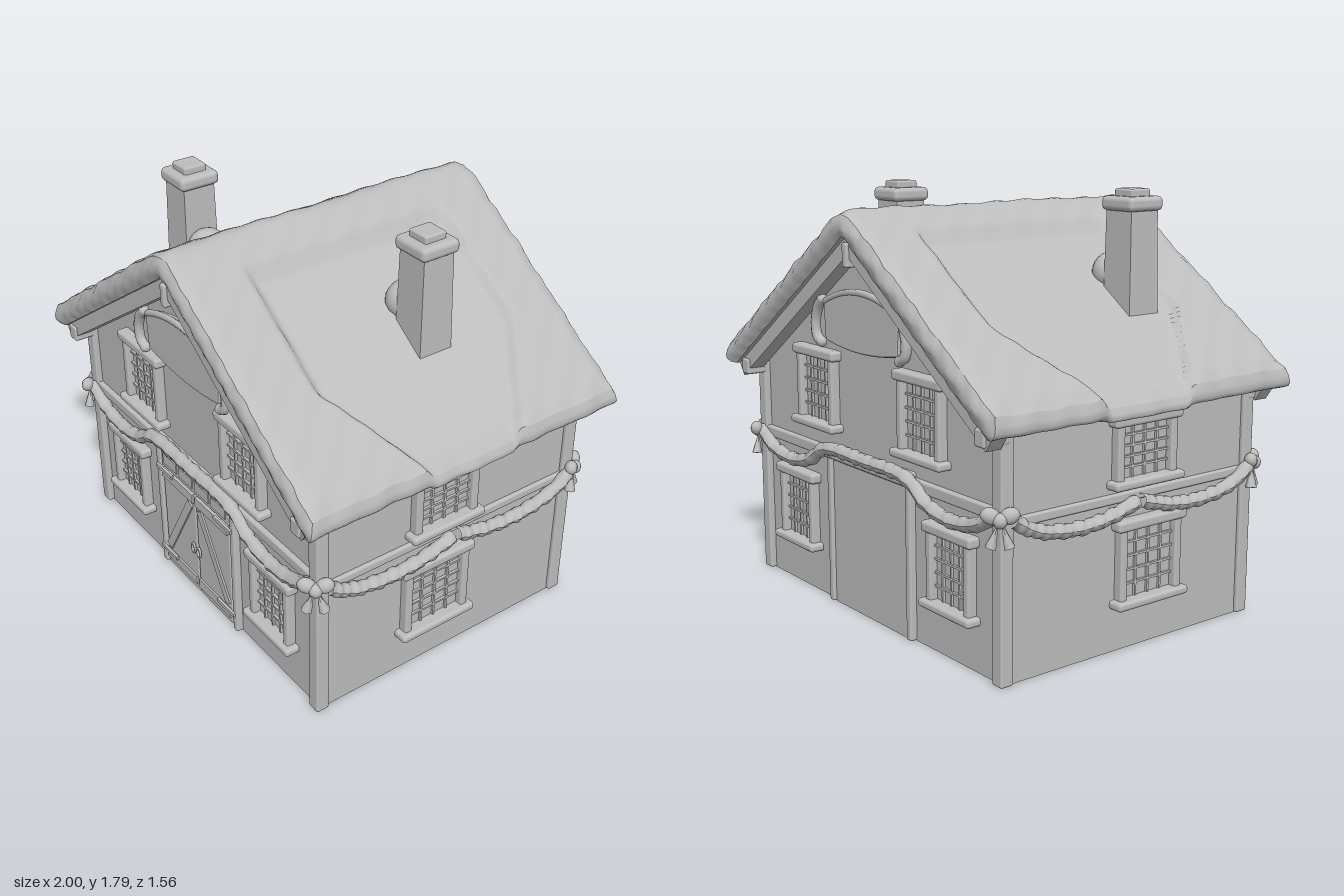
import * as THREE from 'three';
import { RoundedBoxGeometry } from 'three/addons/geometries/RoundedBoxGeometry.js';

const stone = new THREE.MeshStandardMaterial({ color: 0xbdbdbd });
stone.name = 'plain grey';

function add(parent, name, geometry, x = 0, y = 0, z = 0, rotZ = 0) {
  const m = new THREE.Mesh(geometry, stone);
  m.name = name;
  m.position.set(x, y, z);
  m.rotation.z = rotZ;
  parent.add(m);
  return m;
}
const box = (w, h, d) => new THREE.BoxGeometry(w, h, d);
const soft = (w, h, d, r = 0.01) => new RoundedBoxGeometry(w, h, d, 2, r);
const wobble = (a, b) => Math.sin(a * 23 + b * 9) * 0.5 + Math.sin(a * 41 - b * 37 + 1.3) * 0.5;

// Thick snowy roof: a finely divided slab bent over the ridge, hollowed where tiles show
function roofGeometry() {
  const g = new THREE.BoxGeometry(2, 1, 2, 96, 5, 96);
  const p = g.attributes.position;
  const step = THREE.MathUtils.smoothstep;
  for (let i = 0; i < p.count; i++) {
    const s = p.getX(i), v = p.getY(i) + 0.5, w = p.getZ(i);
    const bulge = Math.sin(Math.PI * v);
    const x = s * (0.93 + 0.05 * v + 0.038 * bulge);
    const z = w * (0.755 + 0.02 * bulge + 0.004 * wobble(s * 2, v)) - 0.005;
    const ax = Math.abs(x);
    const narrow = Math.max(0, ax - 0.62) * 0.72;
    const hollow = step(ax, 0.15, 0.19) * (1 - step(Math.abs(z + 0.02), 0.46 - narrow, 0.5 - narrow));
    const edge = Math.max(step(Math.abs(w), 0.95, 1), step(Math.abs(s), 0.96, 1));
    const top = 1.75 - 0.69 * Math.hypot(x, 0.045) - 0.04 * hollow - 0.015 * edge
      + 0.006 * wobble(x, z) * (1 - hollow);
    const bottom = 1.615 - 0.69 * ax;
    p.setXYZ(i, x + Math.sign(s) * 0.005 * edge * wobble(z, 1), THREE.MathUtils.lerp(bottom, top, v), z);
  }
  g.computeVertexNormals();
  return g;
}

// Lumpy rope along a few points
function garland(parent, points) {
  const curve = new THREE.CatmullRomCurve3(points.map(([x, y]) => new THREE.Vector3(x, y, 0.035)));
  const g = new THREE.TubeGeometry(curve, 70, 0.029, 9);
  const p = g.attributes.position, n = g.attributes.normal;
  for (let i = 0; i < p.count; i++) {
    const d = 0.005 * wobble(p.getX(i) * 3, p.getY(i) * 2);
    p.setXYZ(i, p.getX(i) + n.getX(i) * d, p.getY(i) + n.getY(i) * d, p.getZ(i) + n.getZ(i) * d);
  }
  g.computeVertexNormals();
  add(parent, 'garland', g);
}

// Framed lattice window with lintel and snowy sill; wall plane is z = 0
function makeWindow(parent, cx, y0, y1, w) {
  const g = new THREE.Group();
  g.name = 'window';
  g.position.x = cx;
  parent.add(g);
  const h = y1 - y0, cy = (y0 + y1) / 2, f = 0.036;
  add(g, 'glass', box(w - f, h - f, 0.008), 0, cy, 0.003);
  for (const s of [-1, 1]) add(g, 'jamb', soft(f, h - 0.02, 0.05), s * (w - f - 0.03) / 2, cy, 0.015);
  add(g, 'lintel', soft(w + 0.01, 0.045, 0.06, 0.014), 0, y1 - 0.02, 0.02);
  add(g, 'sill', soft(w + 0.02, 0.036, 0.075, 0.014), 0, y0 + 0.018, 0.025);
  const iw = w - 2 * f - 0.02, ih = h - 0.075;
  for (let i = 1; i < 4; i++) add(g, 'bar', box(0.009, ih, 0.014), -iw / 2 + iw * i / 4, cy, 0.011);
  for (let i = 1; i < 5; i++) add(g, 'bar', box(iw, 0.009, 0.014), 0, cy - ih / 2 + ih * i / 5, 0.011);
}

function makeSign(parent) {
  const s = new THREE.Shape();
  s.moveTo(-0.25, 1.17);
  s.quadraticCurveTo(0, 1.12, 0.27, 1.17);
  s.lineTo(0.28, 1.32);
  s.quadraticCurveTo(0, 1.44, -0.26, 1.32);
  s.closePath();
  add(parent, 'signBoard', new THREE.ExtrudeGeometry(s, {
    depth: 0.025, bevelSize: 0.008, bevelThickness: 0.008, bevelSegments: 2, curveSegments: 16,
  }), 0, 0, 0.02);
  const rim = new THREE.QuadraticBezierCurve3(
    new THREE.Vector3(-0.27, 1.32, 0.045), new THREE.Vector3(0, 1.45, 0.045), new THREE.Vector3(0.29, 1.32, 0.045));
  add(parent, 'signRim', new THREE.TubeGeometry(rim, 24, 0.014, 7));
  for (const k of [-1, 1]) {
    const c = new THREE.CatmullRomCurve3([[0.28, 1.33], [0.315, 1.29], [0.335, 1.23], [0.325, 1.17], [0.29, 1.15]]
      .map(([x, y]) => new THREE.Vector3(k * x, y, 0.05)));
    add(parent, 'signScroll', new THREE.TubeGeometry(c, 20, 0.022, 8));
    for (const [x, y] of [[0.28, 1.33], [0.29, 1.15]])
      add(parent, 'scrollEnd', new THREE.SphereGeometry(0.023, 10, 8), k * x, y, 0.05);
  }
}

function makeDoors(parent) {
  add(parent, 'transom', soft(0.54, 0.1, 0.03, 0.006), 0, 0.6, 0.01);
  for (let i = 0; i < 4; i++) add(parent, 'transomPane', box(0.11, 0.05, 0.008), -0.195 + i * 0.13, 0.6, 0.026);
  for (const k of [-1, 1]) {
    add(parent, 'doorLeaf', soft(0.262, 0.53, 0.03, 0.006), k * 0.135, 0.275, 0.008);
    add(parent, 'doorBrace', box(0.04, 0.42, 0.014), k * 0.14, 0.3, 0.024, k * 0.52);
    for (const y of [0.07, 0.52]) {
      add(parent, 'doorRail', box(0.25, 0.045, 0.014), k * 0.135, y, 0.025);
      add(parent, 'hinge', box(0.13, 0.018, 0.012), k * 0.235, y + 0.02, 0.034);
    }
    const handle = add(parent, 'handle', new THREE.TorusGeometry(0.025, 0.006, 6, 14), k * 0.022, 0.25, 0.032);
    handle.scale.x = 0.5;
  }
}

// Gable wall dressing shared by front and back
function makeGable(front) {
  const g = new THREE.Group();
  g.name = front ? 'frontGable' : 'backGable';
  add(g, 'storeyBeam', soft(1.72, 0.05, 0.03), 0, 0.66, 0.008);
  add(g, 'doorHeader', soft(0.64, 0.06, 0.06, 0.015), 0, 0.675, 0.015);
  for (const k of [-1, 1]) {
    makeWindow(g, k * 0.57, 0.19, 0.54, 0.31);
    makeWindow(g, k * 0.385, 0.76, 1.11, 0.32);
    add(g, 'doorPost', soft(0.035, 0.66, 0.04), k * 0.295, 0.33, 0.01);
    const board = add(g, 'bargeBoard', box(1.11, 0.075, 0.07), k * 0.462, 1.265, 0.065, -k * 0.604);
    board.scale.y = 1;
    add(g, 'rafterEnd', soft(0.06, 0.07, 0.12), k * 0.87, 0.965, 0.05);
  }
  garland(g, [[-0.87, 0.665], [-0.76, 0.605], [-0.6, 0.58], [-0.45, 0.605], [-0.31, 0.68], [0, 0.69],
    [0.31, 0.68], [0.45, 0.605], [0.6, 0.58], [0.76, 0.605], [0.87, 0.665]]);
  makeSign(g);
  if (front) makeDoors(g);
  else add(g, 'doorPanel', box(0.56, 0.65, 0.02), 0, 0.325, 0.005);
  // Hook under the ridge
  add(g, 'ridgeHook', soft(0.035, 0.1, 0.05), 0, 1.54, 0.09);
  return g;
}

function makeSide(k) {
  const g = new THREE.Group();
  g.name = k > 0 ? 'leftSide' : 'rightSide';
  makeWindow(g, -k * 0.075, 0.18, 0.54, 0.36);
  makeWindow(g, -k * 0.045, 0.67, 0.96, 0.35);
  add(g, 'storeyBeam', soft(1.24, 0.04, 0.025), 0, 0.63, 0.004);
  for (const s of [-1, 1])
    garland(g, [[s * 0.63, 0.65], [s * 0.52, 0.59], [s * 0.34, 0.56], [s * 0.17, 0.57], [s * 0.01, 0.61]]);
  return g;
}

function makeChimney(x, z) {
  const g = new THREE.Group();
  g.name = 'chimney';
  g.position.set(x, 0, z);
  const shaft = new THREE.CylinderGeometry(0.103, 0.115, 0.56, 4, 1).toNonIndexed();
  shaft.rotateY(Math.PI / 4);
  shaft.computeVertexNormals();
  add(g, 'shaft', shaft, 0, 1.45);
  add(g, 'cap', soft(0.185, 0.06, 0.185, 0.022), 0, 1.73);
  add(g, 'pot', soft(0.105, 0.04, 0.105, 0.01), 0, 1.77);
  // Snow drift on the uphill side
  const drift = add(g, 'snowDrift', new THREE.SphereGeometry(1, 16, 12), -Math.sign(x) * 0.115, 1.44, 0);
  drift.scale.set(0.075, 0.085, 0.09);
  return g;
}

function makeBow(x, z) {
  const g = new THREE.Group();
  g.name = 'cornerBow';
  g.position.set(x, 0.655, z);
  g.rotation.y = Math.atan2(x, z);
  add(g, 'knot', new THREE.SphereGeometry(0.03, 10, 8), 0, 0, 0.02);
  for (const k of [-1, 1]) {
    const loop = add(g, 'loop', new THREE.SphereGeometry(0.04, 10, 8), k * 0.035, 0.015, 0.01, k * 0.4);
    loop.scale.set(1, 0.8, 0.7);
    add(g, 'ribbonTail', new THREE.ConeGeometry(0.024, 0.1, 6), k * 0.02, -0.055, 0.015, k * 0.3);
  }
  return g;
}

export function createModel() {
  const house = new THREE.Group();
  house.name = 'snowyHouse';

  // Walls as one gabled block
  const wall = new THREE.Shape();
  wall.moveTo(-0.88, 0);
  wall.lineTo(0.88, 0);
  wall.lineTo(0.88, 1.01);
  wall.lineTo(0, 1.63);
  wall.lineTo(-0.88, 1.01);
  wall.closePath();
  add(house, 'walls', new THREE.ExtrudeGeometry(wall, { depth: 1.28, bevelEnabled: false }), 0, 0, -0.64);
  add(house, 'roof', roofGeometry());

  const front = makeGable(true), back = makeGable(false);
  front.position.z = 0.64;
  back.position.z = -0.64;
  back.rotation.y = Math.PI;
  house.add(front, back);

  for (const k of [-1, 1]) {
    const side = makeSide(k);
    side.position.x = k * 0.88;
    side.rotation.y = k * Math.PI / 2;
    house.add(side);
    for (const j of [-1, 1]) {
      add(house, 'cornerPost', soft(0.06, 0.98, 0.06), k * 0.868, 0.49, j * 0.638);
      house.add(makeBow(k * 0.885, j * 0.665));
    }
  }
  house.add(makeChimney(0.54, -0.11), makeChimney(-0.54, 0.29));
  return house;
}
